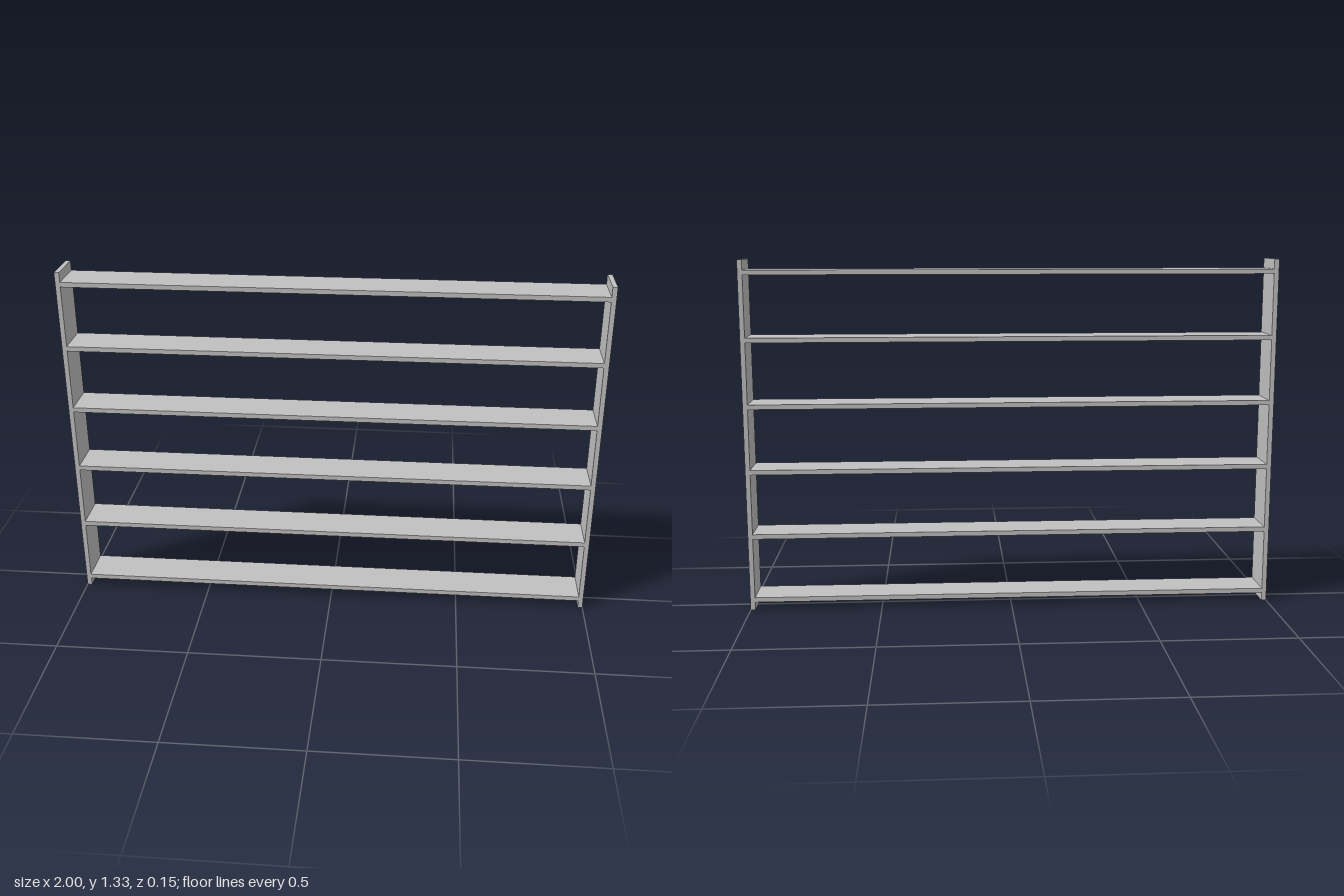
import * as THREE from 'three';

const HEIGHT = 1.326, DEPTH = 0.147, BOARD = 0.018;
const SHELVES = 6, LOWEST = 0.04, SPACING = 0.248;

export function createModel() {
  const group = new THREE.Group();
  group.name = 'shelfUnit';
  const grey = new THREE.MeshStandardMaterial({ color: 0xc0c0c0 });
  grey.name = 'light grey';

  const board = (name, w, h, x, y) => {
    const mesh = new THREE.Mesh(new THREE.BoxGeometry(w, h, DEPTH), grey);
    mesh.name = name;
    mesh.position.set(x, y, 0);
    group.add(mesh);
  };

  // Upright side panels
  for (const [name, side] of [['leftPanel', 1], ['rightPanel', -1]]) {
    board(name, BOARD, HEIGHT, side * (1 - BOARD / 2), HEIGHT / 2);
  }

  // Evenly spaced shelves between the panels
  for (let i = 0; i < SHELVES; i++) {
    board(`shelf${i + 1}`, 2 - 2 * BOARD, BOARD, 0, LOWEST + i * SPACING);
  }
  return group;
}
